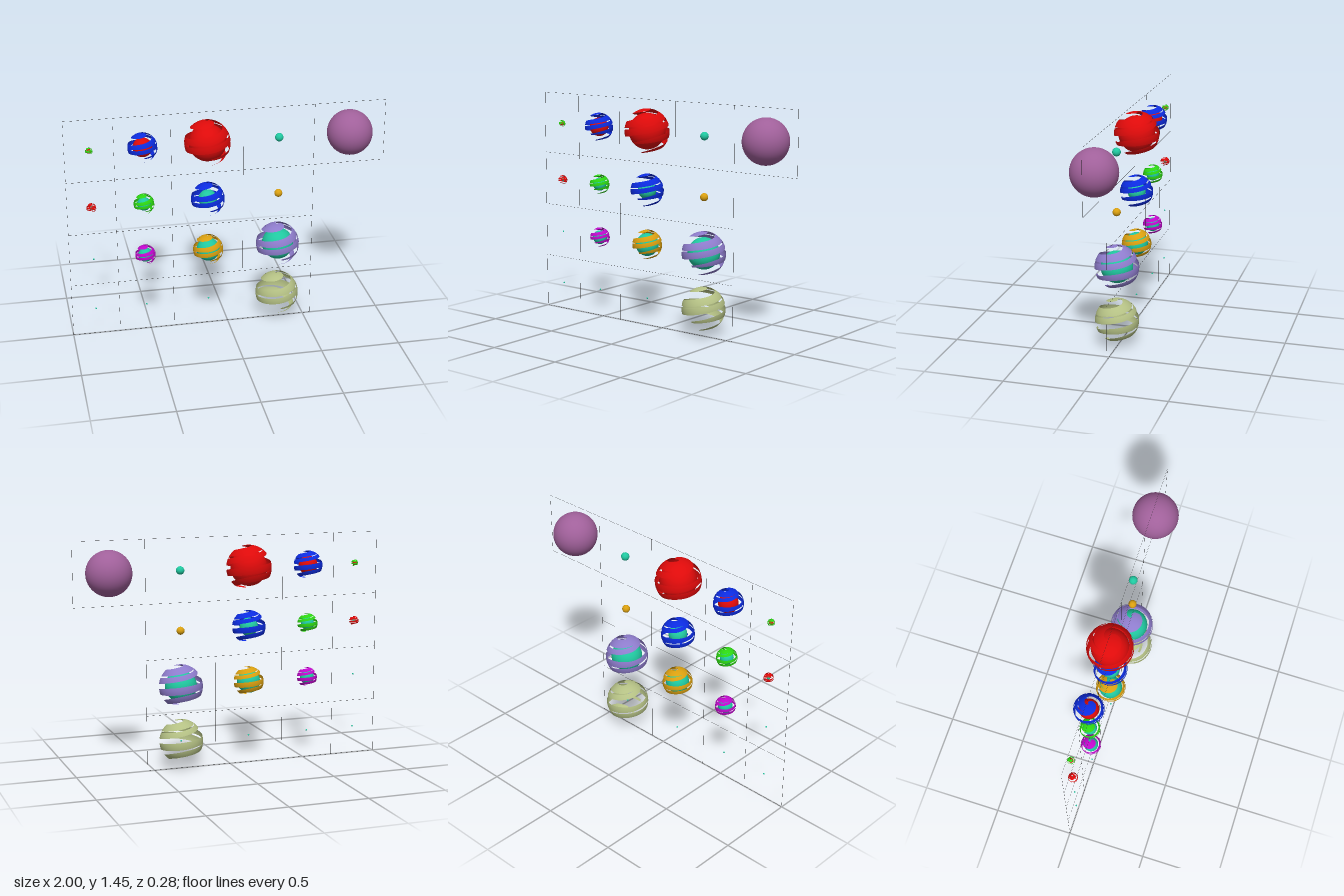
import * as THREE from 'three';

const mat = (name, color, side = THREE.FrontSide) =>
  Object.assign(new THREE.MeshStandardMaterial({ color, side }), { name });
const open = THREE.DoubleSide;
const M = {
  red: mat('red', 0xde0a0a, open),
  blue: mat('blue', 0x0c2ce0, open),
  green: mat('green', 0x2cd612, open),
  teal: mat('teal', 0x20c8a0),
  gold: mat('gold', 0xdaa010, open),
  magenta: mat('magenta', 0xc008cc, open),
  lilac: mat('lilac', 0x8e7ccc, open),
  olive: mat('olive', 0xb4c084, open),
  mauve: mat('mauve', 0xa0609a),
  black: mat('black', 0x202020),
};

// Two ribbons winding up a unit sphere from pointed tails at the front to a shared cap.
// Polar angles in degrees of the lower and upper edge, one pair per quarter turn.
const lowerRibbon = [[160, 154], [142, 126], [122, 104], [109, 92], [97, 80], [80, 64],
  [63, 48], [46, 31], [30, 15], [12, 0], [0, 0]];
const upperRibbon = [[120, 114], [110, 93], [100, 80], [87, 72], [75, 55], [60, 36],
  [44, 14], [31, 0], [15, 0], [0, 0]];

function ribbonGeometry(edges) {
  const quarters = edges.length - 1, steps = quarters * 16, across = 5;
  const curve = new THREE.SplineCurve(edges.map(e => new THREE.Vector2(...e)));
  const pos = [], index = [];
  for (let i = 0; i <= steps; i++) {
    const e = curve.getPoint(i / steps);
    const low = Math.max(0, e.x), high = THREE.MathUtils.clamp(e.y, 0, low);
    const a = -Math.PI / 2 + (i / steps) * quarters * Math.PI / 2;
    for (let j = 0; j <= across; j++) {
      const t = THREE.MathUtils.degToRad(high + (low - high) * j / across);
      pos.push(Math.sin(t) * Math.cos(a), Math.cos(t), -Math.sin(t) * Math.sin(a));
      if (i < steps && j < across) {
        const p = i * (across + 1) + j, q = p + across + 1;
        index.push(p, p + 1, q, q, p + 1, q + 1);
      }
    }
  }
  const g = new THREE.BufferGeometry();
  g.setAttribute('position', new THREE.Float32BufferAttribute(pos, 3));
  // On a unit sphere the normals equal the positions
  g.setAttribute('normal', new THREE.Float32BufferAttribute(pos, 3));
  g.setIndex(index);
  return g;
}

export function createModel() {
  const model = new THREE.Group();
  model.name = 'sphereChart';
  const ballGeo = new THREE.SphereGeometry(1, 40, 28);
  const lowerGeo = ribbonGeometry(lowerRibbon);
  const upperGeo = ribbonGeometry(upperRibbon);
  const columns = [-0.85, -0.525, -0.125, 0.325, 0.775];
  const rows = [0.176, 0.526, 0.876, 1.251];

  const add = (name, geo, material, r, c, row) => {
    const m = new THREE.Mesh(geo, material);
    m.name = name;
    m.scale.setScalar(r);
    m.position.set(columns[c], rows[row], 0);
    model.add(m);
  };

  // Spiral shells: column, row, colour, radius
  [
    [0, 3, M.green, 0.022], [1, 3, M.blue, 0.091], [2, 3, M.red, 0.142],
    [0, 2, M.red, 0.03], [1, 2, M.green, 0.064], [2, 2, M.blue, 0.105],
    [1, 1, M.magenta, 0.064], [2, 1, M.gold, 0.095], [3, 1, M.lilac, 0.137],
    [3, 0, M.olive, 0.137],
  ].forEach(([c, row, m, r]) => {
    add('lowerSpiral', lowerGeo, m, r, c, row);
    add('upperSpiral', upperGeo, m, r, c, row);
  });

  // Solid balls and shell cores: column, row, colour, radius
  [
    [0, 3, M.red, 0.014], [1, 3, M.red, 0.06], [2, 3, M.red, 0.115],
    [3, 3, M.teal, 0.026], [4, 3, M.mauve, 0.142],
    [0, 2, M.teal, 0.01], [1, 2, M.teal, 0.042], [2, 2, M.teal, 0.058], [3, 2, M.gold, 0.025],
    [0, 1, M.teal, 0.005], [1, 1, M.teal, 0.045], [2, 1, M.teal, 0.073], [3, 1, M.teal, 0.1],
    [0, 0, M.teal, 0.005], [1, 0, M.teal, 0.005], [2, 0, M.teal, 0.005], [3, 0, M.teal, 0.005],
  ].forEach(([c, row, m, r]) => add('ball', ballGeo, m, r, c, row));

  // Hairline chart frame
  const T = 0.0008;
  const line = (x0, x1, y0, y1) => {
    const m = new THREE.Mesh(new THREE.BoxGeometry(x1 - x0 + T, y1 - y0 + T, T), M.black);
    m.name = 'gridLine';
    m.position.set((x0 + x1) / 2, (y0 + y1) / 2, 0);
    model.add(m);
  };
  const h = T / 2, L = -1 + h, R = 1 - h, inner = 0.548, top = 1.451, step = 1.051;
  [h, 0.351, 0.701].forEach(y => line(L, inner, y, y));
  [step, top].forEach(y => line(L, R, y, y));
  [L, -0.7, -0.35, 0.099, inner].forEach(x => line(x, x, h, top));
  line(R, R, step, top);

  return model;
}
